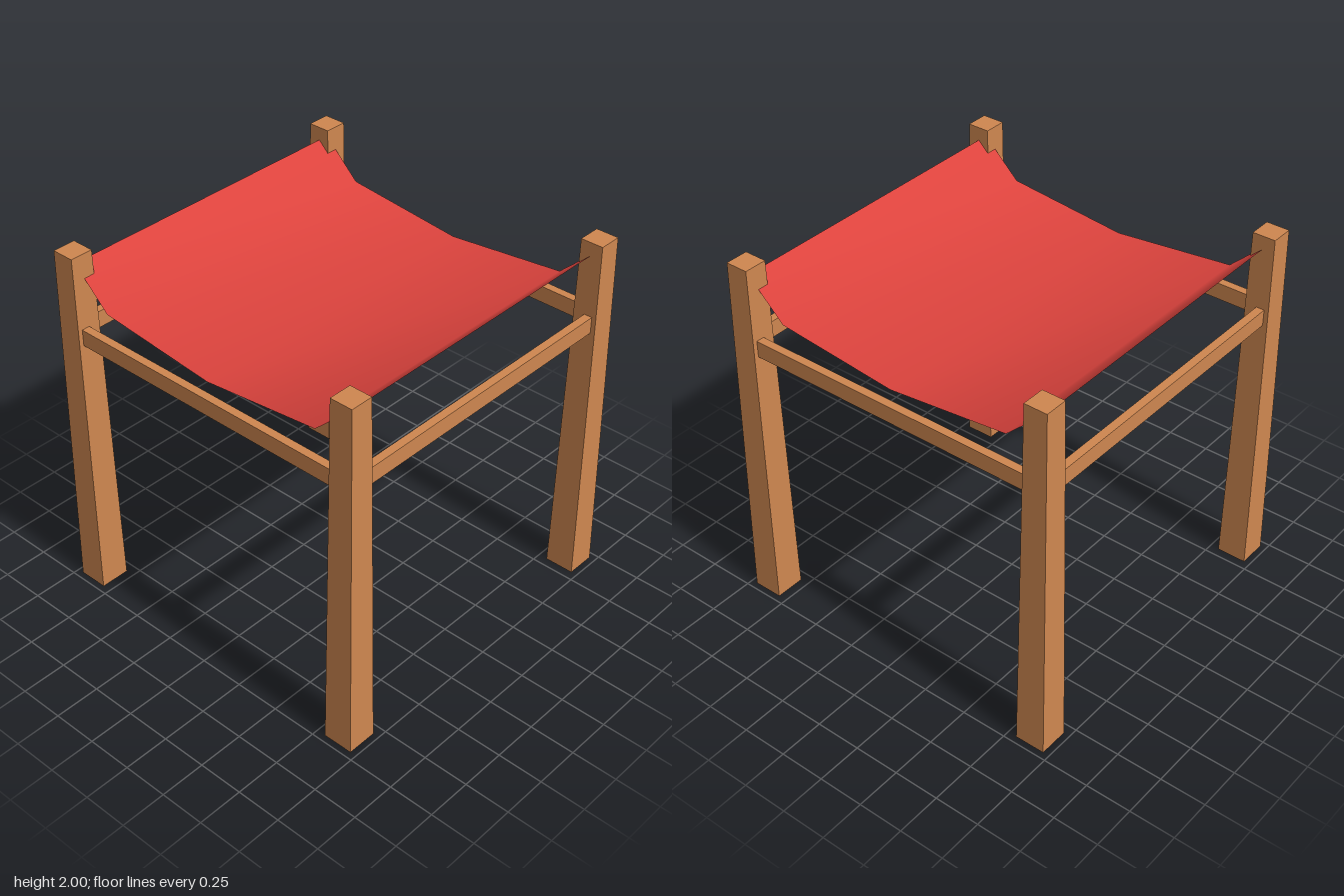
import * as THREE from 'three';

const wood = new THREE.MeshStandardMaterial({ color: 0xcf8750 });
const cloth = new THREE.MeshStandardMaterial({ color: 0xdc433d, side: THREE.DoubleSide });

const LEG = 0.8825; // leg centre on x and z
const RAIL = 0.9025; // rail centre line

// Square post, wider at the foot than at the top
function makeLeg() {
  const geo = new THREE.CylinderGeometry(0.0625 * Math.SQRT2, 0.0825 * Math.SQRT2, 2, 4, 1);
  geo.rotateY(Math.PI / 4);
  const flat = geo.toNonIndexed();
  flat.computeVertexNormals();
  return flat.translate(0, 1, 0);
}

// Sagging cloth: a cross-section along x, drawn out along z
function makeSling() {
  const profile = [[-0.88, 1.927], [-0.672, 1.73], [0, 1.66], [0.672, 1.73], [0.88, 1.927]];
  const geo = new THREE.PlaneGeometry(1, 1.76, profile.length - 1, 1).rotateX(-Math.PI / 2);
  const pos = geo.attributes.position;
  for (let i = 0; i < pos.count; i++) {
    const [x, y] = profile[i % profile.length];
    pos.setXYZ(i, x, y, pos.getZ(i));
  }
  geo.computeVertexNormals();
  return geo;
}

export function createModel() {
  const model = new THREE.Group();
  model.name = 'slingStool';
  const add = (name, geo, material) => {
    const mesh = new THREE.Mesh(geo, material);
    mesh.name = name;
    model.add(mesh);
    return mesh;
  };

  // Legs
  const legGeo = makeLeg();
  for (const [sx, side] of [[1, 'Left'], [-1, 'Right']]) {
    for (const [sz, end] of [[1, 'front'], [-1, 'back']]) {
      add(`${end}${side}Leg`, legGeo, wood).position.set(sx * LEG, 0, sz * LEG);
    }
  }

  // Rails joining the legs
  const railGeo = new THREE.BoxGeometry(1.66, 0.09, 0.045);
  ['frontRail', 'leftRail', 'backRail', 'rightRail'].forEach((name, i) => {
    const a = (i * Math.PI) / 2;
    const rail = add(name, railGeo, wood);
    rail.position.set(Math.sin(a) * RAIL, 1.555, Math.cos(a) * RAIL);
    rail.rotation.y = a;
  });

  // Cloth seat
  add('slingSeat', makeSling(), cloth);
  return model;
}
